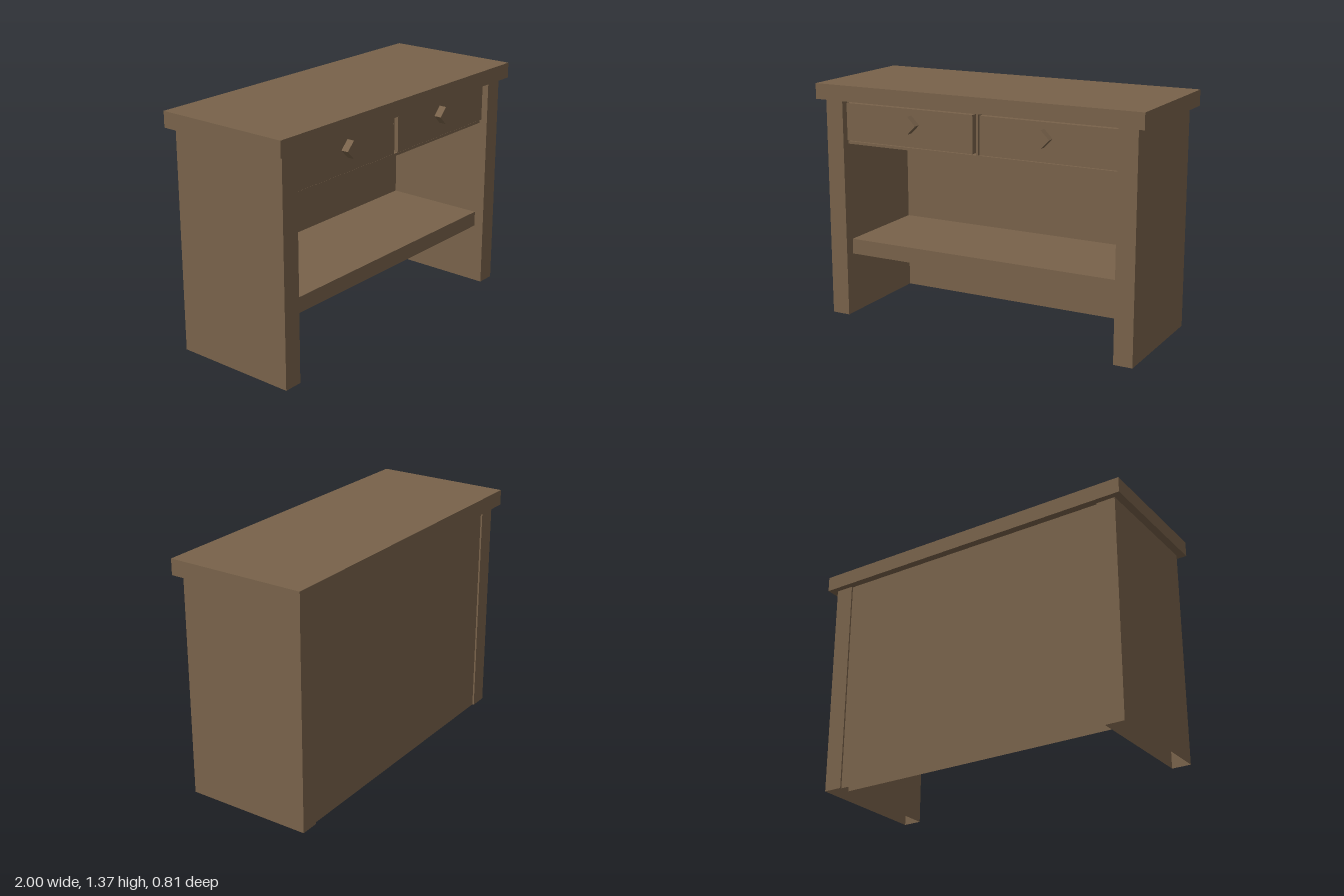
import * as THREE from 'three';

const wood = new THREE.MeshStandardMaterial({ color: 0x78624a, side: THREE.DoubleSide });
wood.name = 'brown wood';

// Box given by its lower and upper corners; openBase leaves out the underside
function board(name, [x0, y0, z0], [x1, y1, z1], openBase = false) {
  const geo = new THREE.BoxGeometry(x1 - x0, y1 - y0, z1 - z0);
  if (openBase) {
    const index = Array.from(geo.index.array);
    index.splice(18, 6);
    geo.setIndex(index);
    geo.clearGroups();
  }
  geo.translate((x0 + x1) / 2, (y0 + y1) / 2, (z0 + z1) / 2);
  const mesh = new THREE.Mesh(geo, wood);
  mesh.name = name;
  return mesh;
}

export function createModel() {
  const group = new THREE.Group();
  group.name = 'consoleTable';

  // Overhanging top
  group.add(board('tableTop', [-1, 1.28, -0.405], [1, 1.37, 0.405]));

  // Full-depth side panels, open where they meet the floor
  group.add(board('leftSide', [0.845, 0, -0.37], [0.955, 1.28, 0.37], true));
  group.add(board('rightSide', [-0.955, 0, -0.37], [-0.845, 1.28, 0.37], true));

  // Slightly inset back panel
  group.add(board('backPanel', [-0.845, 0, -0.36], [0.845, 1.28, -0.3], true));

  // Open shelf
  group.add(board('shelf', [-0.845, 0.36, -0.3], [0.845, 0.45, 0.31]));

  // Drawer compartment
  group.add(board('drawerFloor', [-0.845, 1.02, -0.3], [0.845, 1.035, 0.32]));
  group.add(board('drawerDivider', [-0.006, 1.035, -0.3], [0.006, 1.28, 0.32]));

  // Two drawers with diamond knobs
  for (const side of [1, -1]) {
    const drawer = new THREE.Group();
    drawer.name = side > 0 ? 'leftDrawer' : 'rightDrawer';
    const xs = [side * 0.022, side * 0.843].sort((a, b) => a - b);
    drawer.add(board('drawerBox', [xs[0], 1.042, -0.29], [xs[1], 1.258, 0.332]));

    const knobGeo = new THREE.CylinderGeometry(0.05, 0.05, 0.043, 4).toNonIndexed();
    knobGeo.rotateX(Math.PI / 2);
    knobGeo.computeVertexNormals();
    const knob = new THREE.Mesh(knobGeo, wood);
    knob.name = 'knob';
    knob.position.set(side * 0.41, 1.172, 0.3535);
    drawer.add(knob);
    group.add(drawer);
  }
  return group;
}
